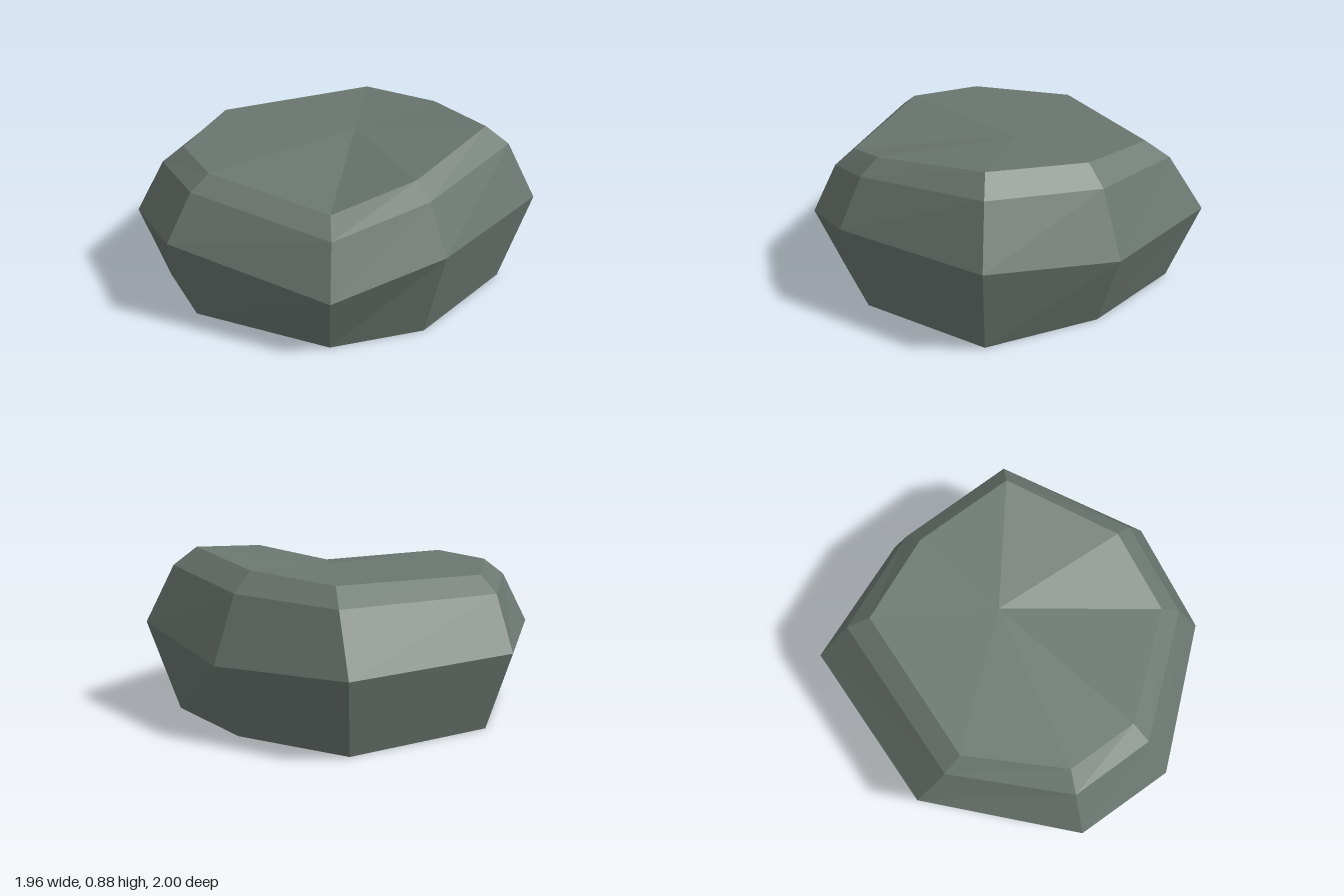
import * as THREE from 'three';

// Eight corners per level, running from the front (+z) round through +x: [x, y, z]
const belly = [
  [0, 0.455, 1], [0.8, 0.33, 0.57], [0.98, 0.48, 0], [0.73, 0.485, -0.84],
  [0, 0.39, -1], [-0.75, 0.41, -0.84], [-0.98, 0.415, 0.12], [-0.53, 0.41, 0.88],
];
const shoulder = [
  [0, 0.7, 0.85], [0.7, 0.6, 0.49], [0.845, 0.73, 0], [0.63, 0.79, -0.725],
  [0, 0.73, -0.86], [-0.59, 0.71, -0.735], [-0.82, 0.69, 0.19], [-0.455, 0.685, 0.755],
];
const rim = [
  [0, 0.775, 0.74], [0.61, 0.69, 0.43], [0.74, 0.81, 0], [0.55, 0.885, -0.63],
  [0, 0.833, -0.75], [-0.49, 0.8, -0.65], [-0.71, 0.775, 0.2], [-0.39, 0.773, 0.66],
];
const foot = belly.map(([x, , z]) => [x * 0.85, 0, z * 0.85]);

// Joins the levels with quads and closes both ends with a fan
function loft(rings, bottom, top) {
  const n = rings[0].length;
  const points = [...rings.flat(), bottom, top];
  const base = rings.length * n;
  const index = [];
  for (let i = 0; i < n; i++) {
    const j = (i + 1) % n;
    for (let r = 0; r < rings.length - 1; r++) {
      const a = r * n + i, b = r * n + j;
      index.push(a, b, b + n, a, b + n, a + n);
    }
    const last = (rings.length - 1) * n;
    index.push(base, j, i, base + 1, last + i, last + j);
  }
  const geometry = new THREE.BufferGeometry();
  geometry.setAttribute('position', new THREE.Float32BufferAttribute(points.flat(), 3));
  geometry.setIndex(index);
  // Separate the corners so every facet is flat
  const faceted = geometry.toNonIndexed();
  faceted.computeVertexNormals();
  return faceted;
}

export function createModel() {
  const group = new THREE.Group();
  group.name = 'rock';

  const stone = new THREE.MeshStandardMaterial({ color: 0x6b7670 });
  stone.name = 'greyGreenStone';
  stone.flatShading = true;

  // Boulder: narrow foot, wide belly, bevelled shoulder and a tilted top
  const boulder = new THREE.Mesh(
    loft([foot, belly, shoulder, rim], [0, 0, 0], [0, 0.8, -0.185]), stone);
  boulder.name = 'boulder';
  group.add(boulder);

  return group;
}
